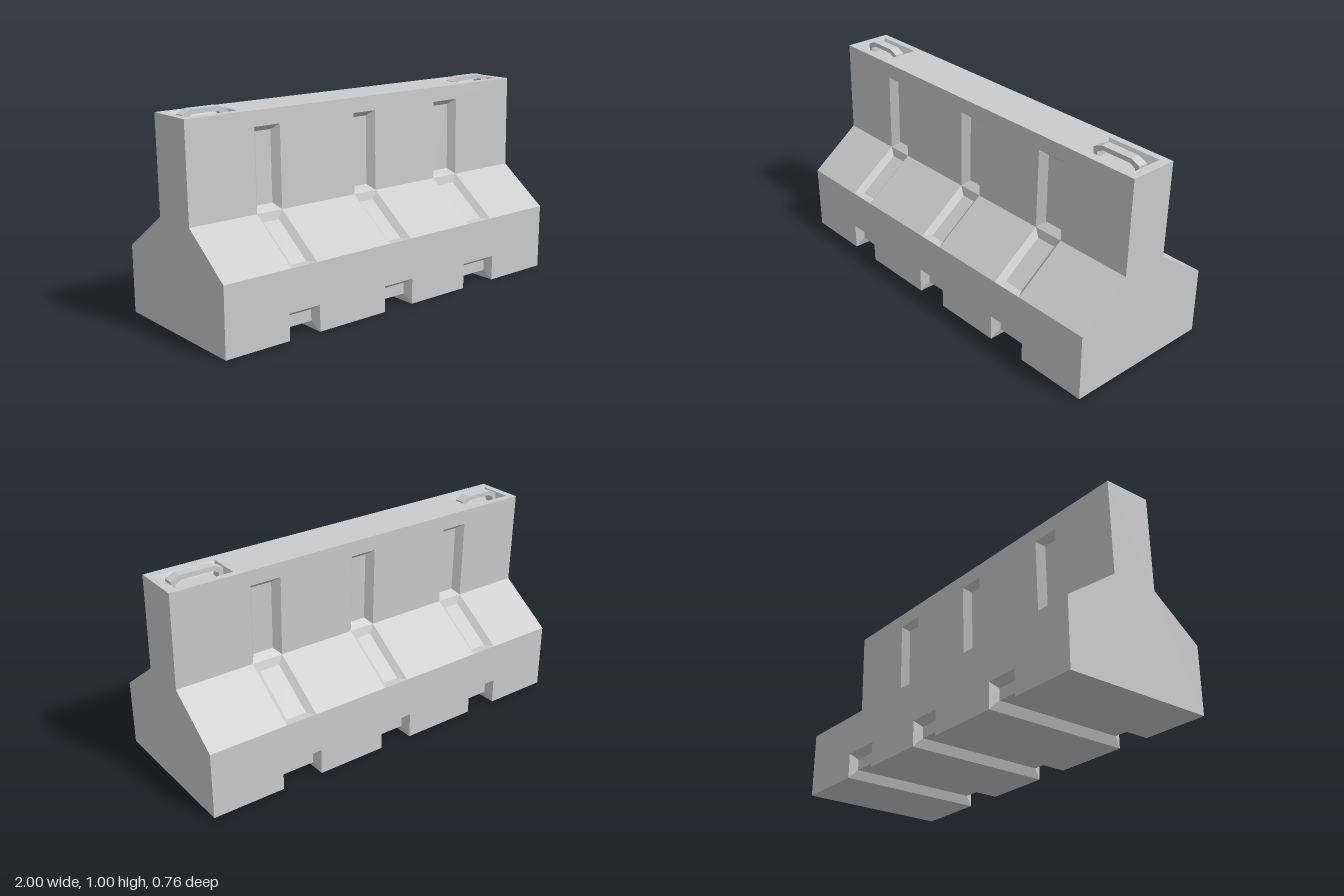
import * as THREE from 'three';

const V = (x, y, z) => new THREE.Vector3(x, y, z);
const center = (pts) => pts.reduce((a, p) => a.add(p), V(0, 0, 0)).divideScalar(pts.length);

// Collects flat polygons into one faceted mesh; "hint" tells which way a face looks.
class Facets {
  constructor() { this.data = []; }

  face(pts, hint, holes = []) {
    const n = V(0, 0, 0);
    pts.forEach((p, i) => n.add(p.clone().cross(pts[(i + 1) % pts.length])));
    n.normalize();
    if (n.dot(hint) < 0) n.negate();
    const u = (Math.abs(n.x) > 0.9 ? V(0, 1, 0) : V(1, 0, 0)).cross(n).normalize();
    const v = n.clone().cross(u);
    const flat = (loop) => loop.map((p) => new THREE.Vector2(p.dot(u), p.dot(v)));
    // Outline counter-clockwise, holes clockwise
    const orient = (loop, ccw) =>
      (THREE.ShapeUtils.isClockWise(flat(loop)) === ccw ? [...loop].reverse() : loop);
    const outer = orient(pts, true);
    const inner = holes.map((h) => orient(h, false));
    const all = [outer, ...inner].flat();
    for (const tri of THREE.ShapeUtils.triangulateShape(flat(outer), inner.map(flat))) {
      let [a, b, c] = tri.map((i) => all[i]);
      if (b.clone().sub(a).cross(c.clone().sub(a)).dot(n) < 0) [b, c] = [c, b];
      for (const p of [a, b, c]) this.data.push(p.x, p.y, p.z);
    }
  }

  // Bevelled pocket: walls from the outer loop to the inner loop, plus a floor
  recess(outer, inner, out) {
    const mid = center(inner);
    outer.forEach((p, i) => {
      const j = (i + 1) % outer.length;
      const quad = [p, outer[j], inner[j], inner[i]];
      this.face(quad, mid.clone().add(out).sub(center(quad)));
    });
    this.face(inner, out);
  }

  mesh(name, material) {
    const g = new THREE.BufferGeometry();
    g.setAttribute('position', new THREE.Float32BufferAttribute(this.data, 3));
    g.computeVertexNormals();
    const m = new THREE.Mesh(g, material);
    m.name = name;
    return m;
  }
}

const TOP = 0.985, CREASE = 0.52, SHOULDER = 0.33, HALF = 0.382;
const SLOTS = [[-0.65, -0.51], [-0.08, 0.055], [0.45, 0.61]];
const NOTCHES = [[-0.665, -0.495], [-0.105, 0.07], [0.425, 0.635]];
const POCKETS = [[-0.965, -0.705], [0.67, 0.955]];
const SIDES = [
  { s: 1, top: 0.121, crease: 0.13 },
  { s: -1, top: 0.119, crease: 0.11 },
];

// Spans left over between openings along the full length
const between = (list) => {
  const xs = [-1, ...list.flat(), 1];
  return xs.filter((_, i) => i % 2 === 0).map((x, i) => [x, xs[2 * i + 1]]);
};
// Rectangle outline with rectangular bites taken from its lower edge
const bitten = (bites, low, high, biteTop, at) => {
  const pts = [at(-1, low), at(-1, high), at(1, high), at(1, low)];
  for (const [a, b] of [...bites].reverse()) {
    pts.push(at(b, low), at(b, biteTop), at(a, biteTop), at(a, low));
  }
  return pts;
};

export function createModel() {
  const group = new THREE.Group();
  const material = new THREE.MeshStandardMaterial({ color: 0xcccccc, flatShading: true });
  const body = new Facets(), slots = new Facets(), notches = new Facets(), pockets = new Facets();

  for (const { s, top, crease } of SIDES) {
    const out = V(0, 0, s);
    const wall = (x, y, d = 0) =>
      V(x, y, s * (crease + (top - crease) * (y - CREASE) / (TOP - CREASE) - d));
    const slope = (x, y, d = 0) =>
      V(x, y, s * (HALF + (crease - HALF) * (y - SHOULDER) / (CREASE - SHOULDER) - d));
    const base = (x, y, d = 0) => V(x, y, s * (HALF - d));

    // Upper wall, sloped shoulder and upright base
    body.face(bitten(SLOTS, CREASE, TOP, 0.912, wall), out);
    for (const [a, b] of between(SLOTS)) {
      body.face([slope(a, CREASE), slope(b, CREASE), slope(b, SHOULDER), slope(a, SHOULDER)], out);
    }
    body.face(bitten(NOTCHES, 0, SHOULDER, 0.127, base), out);

    // Slots in the wall and in the shoulder, parted by a ridge at the crease
    for (const [a, b] of SLOTS) {
      const i = a + 0.028, j = b - 0.028;
      slots.recess(
        [wall(a, 0.912), wall(b, 0.912), wall(b, CREASE), wall(a, CREASE)],
        [wall(i, 0.885, 0.035), wall(j, 0.885, 0.035), wall(j, 0.548, 0.035), wall(i, 0.548, 0.035)],
        out);
      slots.recess(
        [slope(a, CREASE), slope(b, CREASE), slope(b, SHOULDER), slope(a, SHOULDER)],
        [slope(i, 0.48, 0.042), slope(j, 0.48, 0.042), slope(j, SHOULDER, 0.042), slope(i, SHOULDER, 0.042)],
        out);
    }

    // Bevelled mouths of the lifting channels
    const d = 0.042;
    for (const [a, b] of NOTCHES) {
      const i = a + 0.018, j = b - 0.018;
      for (const [x, xi, dir] of [[a, i, 1], [b, j, -1]]) {
        notches.face([base(x, 0), base(x, 0.127), base(xi, 0.1, d), base(xi, 0.045, d)], V(dir, 0, 0));
        notches.face([base(x, 0), base(xi, 0.045, d), base(x, 0, d)], V(dir, 0, 0));
      }
      notches.face([base(a, 0.127), base(b, 0.127), base(j, 0.1, d), base(i, 0.1, d)], V(0, -1, 0));
      notches.face([base(i, 0.1, d), base(j, 0.1, d), base(j, 0.045, d), base(i, 0.045, d)], out);
    }
  }

  // Channels running under the base from front to back
  const zi = HALF - 0.042;
  for (const [a, b] of NOTCHES) {
    const i = a + 0.018, j = b - 0.018;
    notches.face([V(i, 0.045, zi), V(j, 0.045, zi), V(j, 0.045, -zi), V(i, 0.045, -zi)], V(0, -1, 0));
    for (const [x, xi, dir] of [[a, i, 1], [b, j, -1]]) {
      notches.face([V(x, 0, zi), V(xi, 0.045, zi), V(xi, 0.045, -zi), V(x, 0, -zi)], V(dir, 0, 0));
    }
  }

  // Underside and end faces
  for (const [a, b] of between(NOTCHES)) {
    body.face([V(a, 0, HALF), V(b, 0, HALF), V(b, 0, -HALF), V(a, 0, -HALF)], V(0, -1, 0));
  }
  const [f, r] = SIDES;
  for (const x of [-1, 1]) {
    body.face([
      V(x, 0, HALF), V(x, SHOULDER, HALF), V(x, CREASE, f.crease), V(x, TOP, f.top),
      V(x, TOP, -r.top), V(x, CREASE, -r.crease), V(x, SHOULDER, -HALF), V(x, 0, -HALF),
    ], V(x, 0, 0));
  }

  // Top face with two handle pockets
  const rect = (a, b, z0, z1, y) => [V(a, y, z0), V(b, y, z0), V(b, y, z1), V(a, y, z1)];
  const up = V(0, 1, 0), floor = TOP - 0.045;
  body.face(rect(-1, 1, -r.top, f.top, TOP), up,
    POCKETS.map(([a, b]) => rect(a, b, -0.085, 0.077, TOP)));
  for (const [a, b] of POCKETS) {
    pockets.recess(rect(a, b, -0.085, 0.077, TOP),
      rect(a + 0.018, b - 0.018, -0.06, 0.055, floor), up);
  }

  group.add(body.mesh('body', material), slots.mesh('sideSlots', material),
    notches.mesh('liftingChannels', material), pockets.mesh('handlePockets', material));

  // Arched handle bars
  POCKETS.forEach(([a, b], k) => {
    const l = a + 0.014, h = b - 0.014;
    const arch = new THREE.Shape([
      [l, floor], [l, TOP], [l + 0.045, 1.005], [h - 0.045, 1.005], [h, TOP], [h, floor],
      [h - 0.022, floor], [h - 0.022, 0.968], [h - 0.052, 0.983],
      [l + 0.052, 0.983], [l + 0.022, 0.968], [l + 0.022, floor],
    ].map(([x, y]) => new THREE.Vector2(x, y)));
    const bar = new THREE.Mesh(
      new THREE.ExtrudeGeometry(arch, { depth: 0.048, bevelEnabled: false }), material);
    bar.position.z = -0.022;
    bar.name = k ? 'leftHandle' : 'rightHandle';
    group.add(bar);
  });

  return group;
}
